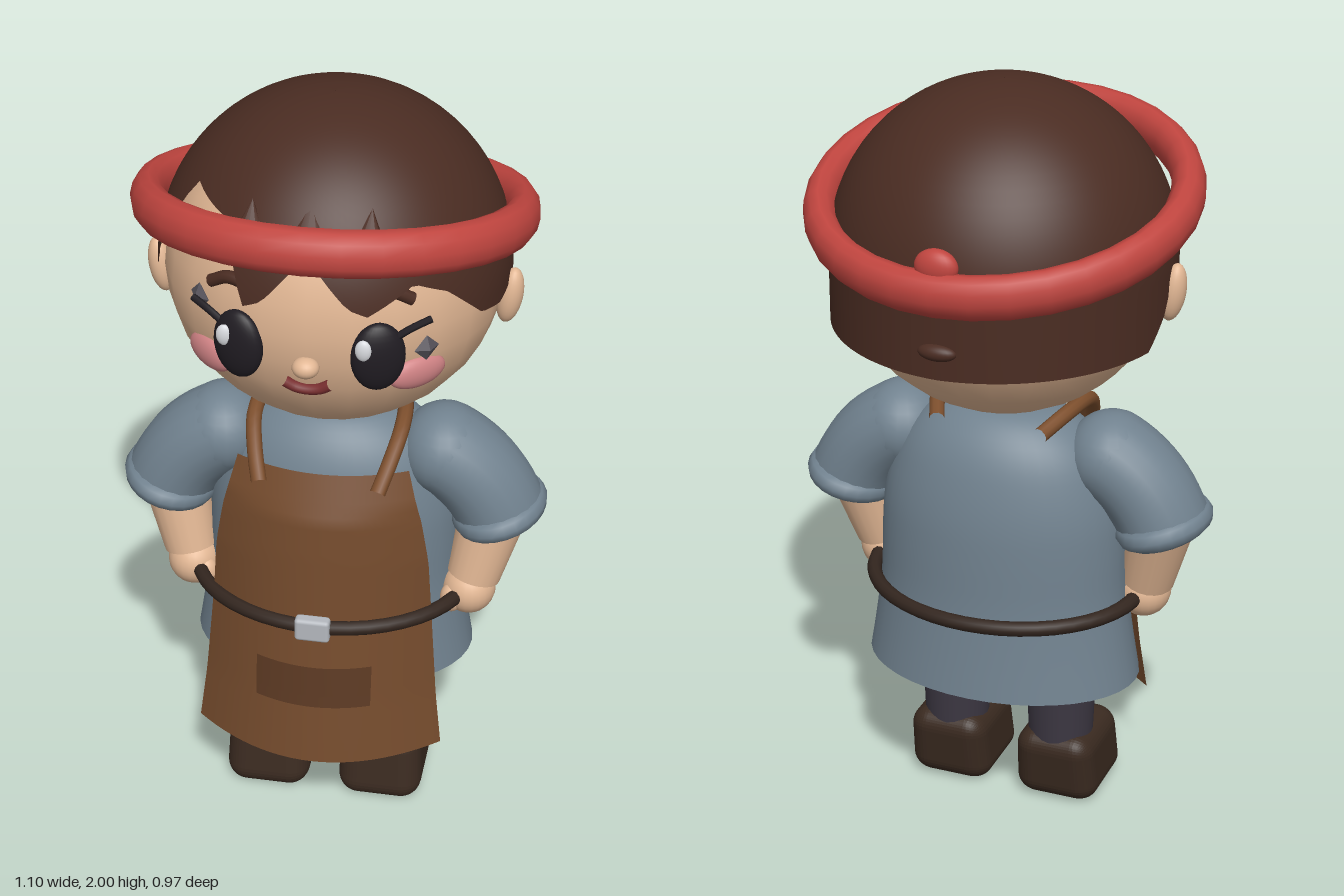
import * as THREE from 'three';
import { ParametricGeometry } from 'three/addons/geometries/ParametricGeometry.js';
import { RoundedBoxGeometry } from 'three/addons/geometries/RoundedBoxGeometry.js';

const mat = (color, side = THREE.FrontSide) => new THREE.MeshStandardMaterial({ color, side });
const M = {
  skin: mat(0xe2b794), hair: mat(0x4a2c22, THREE.DoubleSide), band: mat(0xc0453f),
  shirt: mat(0x71828f, THREE.DoubleSide), apron: mat(0x734a2c, THREE.DoubleSide),
  pocket: mat(0x5a3822, THREE.DoubleSide), strap: mat(0x7d4f2d), belt: mat(0x33261f),
  metal: mat(0xb4b8be), trousers: mat(0x3c3742), shoe: mat(0x3a2a20), eye: mat(0x201c22),
  shine: mat(0xd8dade), cheek: mat(0xcf8284), mouth: mat(0x7a2f30), lash: mat(0x56525a),
};
const V = (x, y, z) => new THREE.Vector3(x, y, z);

// Piecewise linear table lookup; rows are [key, value], keys ascending
function lookup(table, k) {
  for (let i = 1; i < table.length; i++) {
    const [k0, v0] = table[i - 1], [k1, v1] = table[i];
    if (k <= k1) return v0 + (v1 - v0) * (k - k0) / (k1 - k0);
  }
  return table[table.length - 1][1];
}

export function createModel() {
  const root = new THREE.Group();
  const add = (name, geo, material, x = 0, y = 0, z = 0) => {
    const m = new THREE.Mesh(geo, material);
    m.name = name;
    m.position.set(x, y, z);
    root.add(m);
    return m;
  };
  const blob = (name, material, pos, size) => {
    const m = add(name, new THREE.SphereGeometry(1, 24, 16), material, ...pos);
    m.scale.set(...size);
    return m;
  };
  const tube = (name, material, points, r, sides = 10) =>
    add(name, new THREE.TubeGeometry(new THREE.CatmullRomCurve3(points), 16, r, sides), material);
  const headZ = (x, y) => 0.4 * Math.sqrt(1 - (x / 0.42) ** 2 - ((y - 1.55) / 0.4) ** 2);

  // Head, nose and ears
  blob('head', M.skin, [0, 1.55, 0], [0.42, 0.4, 0.4]);
  blob('nose', M.skin, [0, 1.475, 0.4], [0.033, 0.026, 0.03]);

  // Hair shell whose lower edge height varies around the head (degrees from the front)
  const back = [[88, 1.55], [95, 1.46], [105, 1.39], [180, 1.38]];
  const leftEdge = [[0, 1.77], [7, 1.71], [14, 1.65], [20, 1.63], [28, 1.66], [36, 1.69], [48, 1.65],
    [63, 1.55], [75, 1.53], ...back];
  const rightEdge = [[0, 1.77], [7, 1.71], [14, 1.65], [20, 1.63], [27, 1.74], [32, 1.8], [58, 1.83],
    [66, 1.67], [75, 1.53], ...back];
  const R = 0.435;
  const hair = (u, v, out) => {
    const a = (u * 2 - 1) * Math.PI, deg = Math.abs(a) * 180 / Math.PI;
    const h = lookup(a > 0 ? leftEdge : rightEdge, deg) - 1.565;
    const end = h > 0 ? Math.acos(h / R) : Math.PI / 2 - h / R;
    const p = Math.max(0.002, (1 - v) * end);
    const below = p > Math.PI / 2;
    const r = below ? R : R * Math.sin(p);
    const y = 1.565 + (below ? -R * (p - Math.PI / 2) : R * Math.cos(p));
    out.set(r * Math.sin(a), y, r * Math.cos(a));
  };
  add('hair', new ParametricGeometry(hair, 144, 24), M.hair);
  for (const x of [-0.14, 0, 0.14]) {
    const tuft = add('hairTuft', new THREE.ConeGeometry(0.06, 0.13, 12), M.hair, x, 1.825 - Math.abs(x) * 0.15, 0.335);
    tuft.rotation.x = -0.6;
    tuft.scale.z = 0.5;
  }
  blob('napeTuft', M.hair, [0, 1.45, -0.43], [0.05, 0.022, 0.025]);

  // Tilted headband with its knot
  const band = add('headband', new THREE.TorusGeometry(0.455, 0.043, 12, 32), M.band, 0, 1.705, 0);
  band.rotation.x = Math.PI / 2 - 0.235;
  band.scale.z = 1.35;
  blob('headbandKnot', M.band, [0, 1.665, -0.43], [0.055, 0.045, 0.03]);

  // Mouth
  tube('mouth', M.mouth, [[-0.055, 1.42], [-0.03, 1.405], [0, 1.4], [0.03, 1.405], [0.055, 1.42]]
    .map(([x, y]) => V(x, y, headZ(x, y) + 0.004)), 0.014);

  for (const s of [-1, 1]) {
    // Face details
    const ear = blob('ear', M.skin, [s * 0.435, 1.5, 0.022], [0.032, 0.076, 0.035]);
    ear.rotation.z = -s * 0.15;
    const eye = blob('eye', M.eye, [s * 0.167, 1.505, 0.368], [0.066, 0.09, 0.032]);
    eye.rotation.y = s * 0.35;
    blob('eyeShine', M.shine, [s * 0.167 - 0.03, 1.535, s > 0 ? 0.399 : 0.385], [0.02, 0.028, 0.012]);
    const cheek = blob('cheek', M.cheek, [s * 0.25, 1.432, 0.3], [0.078, 0.042, 0.025]);
    cheek.rotation.y = s * 0.72;
    tube('eyebrow', M.hair, [[0.11, 1.645], [0.15, 1.665], [0.195, 1.667], [0.24, 1.642]]
      .map(([x, y]) => V(s * x, y, headZ(x, y) + 0.006)), 0.016);
    tube('eyelash', M.eye, [V(s * 0.2, 1.55, 0.36), V(s * 0.24, 1.575, 0.345), V(s * 0.285, 1.592, 0.32)], 0.009, 6);
    const y = s < 0 ? 1.588 : 1.5;
    const fleck = add('lashFleck', new THREE.OctahedronGeometry(0.034), M.lash, s * 0.272, y, headZ(0.272, y));
    fleck.rotation.y = s * 0.7;
    fleck.scale.z = 0.5;

    // Sleeve bending down to a rolled cuff
    const a = V(s * 0.285, 1.035, 0.02), b = V(s * 0.43, 0.87, 0.02);
    blob('shoulder', M.shirt, a.toArray(), [0.118, 0.118, 0.128]);
    const bend = new THREE.QuadraticBezierCurve3(a, V(s * 0.385, 0.985, 0.02), b);
    const sleeve = add('sleeve', new THREE.TubeGeometry(bend, 10, 0.118, 20), M.shirt, 0, 0, -0.0017);
    sleeve.scale.z = 1.085;
    const cuff = add('cuff', new THREE.TorusGeometry(0.092, 0.034, 10, 24), M.shirt, s * 0.43, 0.872, 0.02);
    cuff.rotation.set(Math.PI / 2, s * 0.28, 0);
    cuff.scale.y = 1.18;

    // Forearm and hand
    const top = V(s * 0.42, 0.87, 0.03), wrist = V(s * 0.375, 0.68, 0.065);
    const dir = top.clone().sub(wrist);
    const arm = add('forearm', new THREE.CylinderGeometry(0.088, 0.07, dir.length(), 20), M.skin);
    arm.position.copy(top).add(wrist).multiplyScalar(0.5);
    arm.quaternion.setFromUnitVectors(V(0, 1, 0), dir.normalize());
    blob('hand', M.skin, [s * 0.365, 0.645, 0.07], [0.07, 0.072, 0.075]);
    blob('thumb', M.skin, [s * 0.325, 0.63, 0.11], [0.03, 0.042, 0.03]);

    // Apron strap over the shoulder
    tube('apronStrap', M.strap, [V(s * 0.15, 1.03, 0.25), V(s * 0.172, 1.09, 0.19), V(s * 0.188, 1.14, 0.11),
      V(s * 0.18, 1.15, 0), V(s * 0.14, 1.12, -0.11)], 0.02);

    // Leg and shoe
    add('leg', new THREE.CylinderGeometry(0.1, 0.085, 0.4, 24), M.trousers, s * 0.15, 0.35, 0.035);
    const shoeGeo = new RoundedBoxGeometry(0.22, 0.21, 0.265, 5, 0.055);
    const p = shoeGeo.attributes.position;
    for (let i = 0; i < p.count; i++) {
      const h = p.getY(i) / 0.21;
      p.setX(i, p.getX(i) * (1 - 0.08 * h));
      p.setZ(i, p.getZ(i) - 0.035 * h);
    }
    shoeGeo.computeVertexNormals();
    add('shoe', shoeGeo, M.shoe, s * 0.153, 0.107, 0.082);
  }

  // Shirt, an oval lathe
  const profile = [[0.37, 0.41], [0.352, 0.52], [0.335, 0.65], [0.33, 0.78], [0.322, 0.88], [0.3, 0.97],
    [0.265, 1.05], [0.21, 1.11], [0.13, 1.15], [0.001, 1.16]];
  const shirt = add('shirt', new THREE.LatheGeometry(
    new THREE.SplineCurve(profile.map(([x, y]) => new THREE.Vector2(x, y))).getPoints(30), 40), M.shirt);
  shirt.scale.z = 0.69;

  // Curved apron and pocket share one surface: half width, front and edge depth by height
  const width = [[0.25, 0.323], [0.4, 0.305], [0.65, 0.285], [0.8, 0.275], [0.92, 0.255], [1.06, 0.218]];
  const front = [[0.25, 0.38], [0.45, 0.348], [0.65, 0.318], [0.85, 0.298], [0.95, 0.285], [1.06, 0.235]];
  const edge = [[0.25, 0.24], [0.45, 0.218], [0.65, 0.2], [0.85, 0.2], [0.98, 0.2], [1.06, 0.18]];
  const panel = (y0, y1, half, lift) => new ParametricGeometry((u, v, out) => {
    const y = y0 + (y1 - y0) * v, w = lookup(width, y);
    const x = (u * 2 - 1) * (half || w), f = lookup(front, y);
    out.set(x, y, f - (f - lookup(edge, y)) * (x / w) ** 2 + lift);
  }, 24, 24);
  add('apron', panel(0.25, 1.06, 0, 0), M.apron);
  add('apronPocket', panel(0.42, 0.535, 0.15, 0.012), M.pocket);

  // Belt and buckle
  const belt = add('belt', new THREE.TorusGeometry(0.36, 0.02, 10, 48), M.belt, 0, 0.645, 0.025);
  belt.rotation.x = Math.PI / 2 - 0.015;
  belt.scale.y = 0.83;
  add('buckle', new RoundedBoxGeometry(0.09, 0.065, 0.035, 3, 0.01), M.metal, 0, 0.652, 0.334);

  return root;
}
